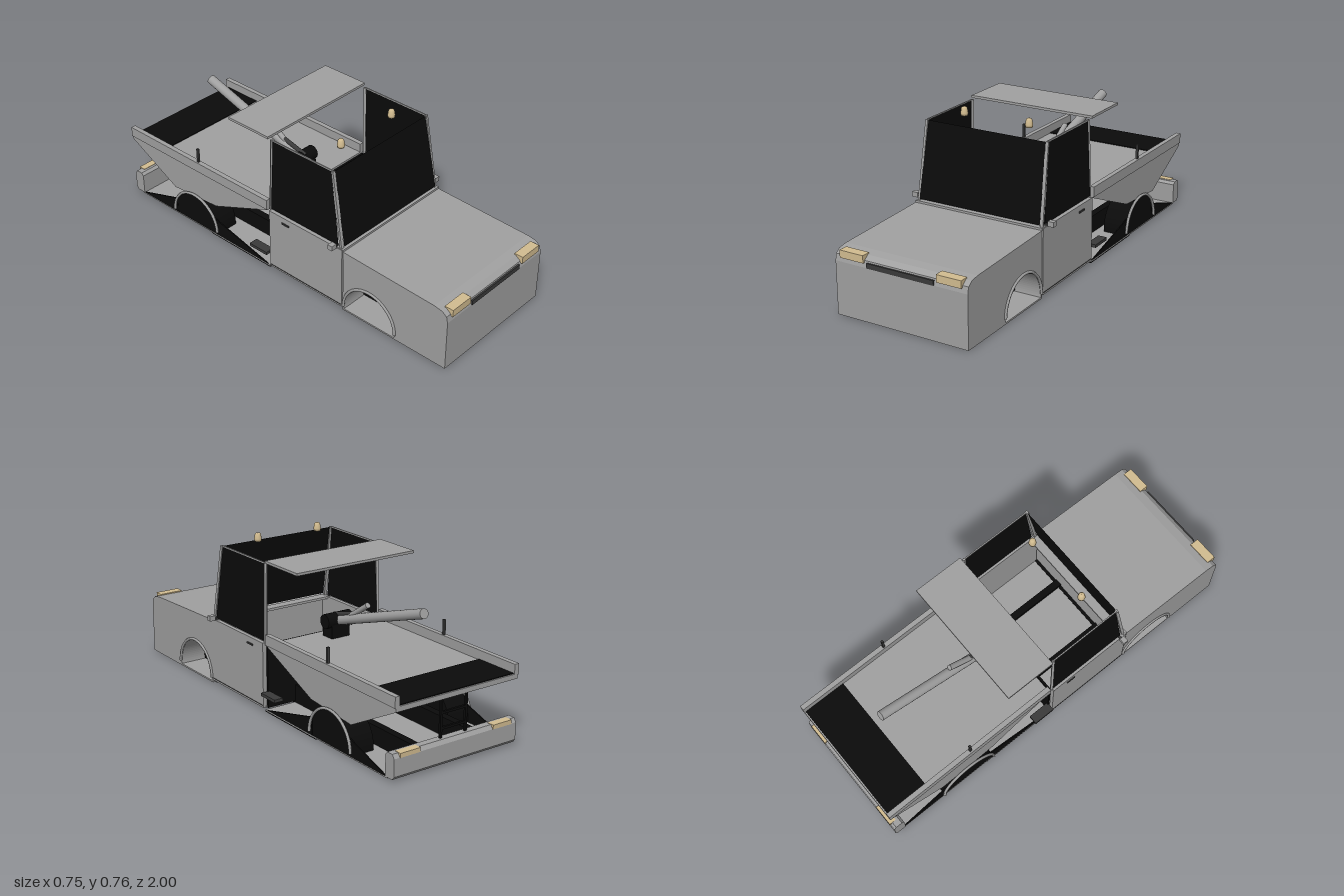
import * as THREE from 'three';

const mat = (name, color, side = THREE.FrontSide) => {
  const m = new THREE.MeshStandardMaterial({ color, side });
  m.name = name;
  return m;
};

export function createModel() {
  const truck = new THREE.Group();
  truck.name = 'truck';
  const grey = mat('body grey', 0xa0a0a0, THREE.DoubleSide);
  const black = mat('black', 0x0b0b0b, THREE.DoubleSide);
  const dark = mat('dark grey', 0x3a3a3a);
  const beige = mat('lamp beige', 0xd2bc90);

  const add = (name, geo, m) => {
    const mesh = new THREE.Mesh(geo, m);
    mesh.name = name;
    truck.add(mesh);
    return mesh;
  };
  // Box given by its limits on each axis
  const box = (name, m, x0, x1, y0, y1, z0, z1) => {
    const mesh = add(name, new THREE.BoxGeometry(Math.abs(x1 - x0), y1 - y0, z1 - z0), m);
    mesh.position.set((x0 + x1) / 2, (y0 + y1) / 2, (z0 + z1) / 2);
    return mesh;
  };
  // Bar or tube running between two points
  const between = (name, m, a, b, geo) => {
    const p = new THREE.Vector3(...a), q = new THREE.Vector3(...b);
    const mesh = add(name, geo(p.distanceTo(q)), m);
    mesh.position.copy(p).lerp(q, 0.5);
    mesh.lookAt(q);
    return mesh;
  };
  const bar = (name, m, a, b, t) => between(name, m, a, b, (l) => new THREE.BoxGeometry(t, t, l));
  const tube = (name, m, a, b, r) =>
    between(name, m, a, b, (l) => new THREE.CylinderGeometry(r, r, l, 16).rotateX(Math.PI / 2));
  // Side profile in (z, y), extruded across x
  const extrude = (name, m, shape, width, x = 0) => {
    const geo = new THREE.ExtrudeGeometry(shape, { depth: width, bevelEnabled: false, curveSegments: 24 });
    geo.translate(0, 0, -width / 2).rotateY(-Math.PI / 2);
    const mesh = add(name, geo, m);
    mesh.position.x = x;
    return mesh;
  };
  const poly = (pts) => new THREE.Shape(pts.map((p) => new THREE.Vector2(...p)));
  // Flat four-cornered pane
  const pane = (name, m, a, b, c, d) => {
    const geo = new THREE.BufferGeometry();
    geo.setAttribute('position', new THREE.Float32BufferAttribute([...a, ...b, ...c, ...a, ...c, ...d], 3));
    geo.computeVertexNormals();
    return add(name, geo, m);
  };

  // Hood with wheel arches cut through, and a dark core between them
  const archF = 0.565, archB = -0.555, archY = 0.03, r = 0.148;
  const a0 = Math.asin((0.012 - archY) / r);
  const hood = poly([[0.41, 0.012], [0.41, 0.327], [0.92, 0.31], [0.965, 0.303], [0.988, 0.285], [0.995, 0.255], [0.995, 0.012]]);
  hood.absarc(archF, archY, r, a0, Math.PI - a0, false);
  extrude('hood', grey, hood, 0.67);
  box('hoodCore', black, -0.2, 0.2, 0.014, 0.19, 0.415, 0.72);
  box('hoodUnderside', grey, -0.335, 0.335, 0.004, 0.012, 0.41, 0.995);
  box('cowl', grey, -0.335, 0.335, 0.325, 0.337, 0.36, 0.41);
  box('grille', dark, -0.17, 0.17, 0.255, 0.278, 0.985, 0.998);

  // Cab floor
  box('cabFloor', grey, -0.325, 0.325, 0.02, 0.028, -0.05, 0.41);
  box('cabBackWall', black, -0.32, 0.32, 0.02, 0.33, -0.055, -0.045);
  box('cabSill', black, -0.32, 0.32, 0.004, 0.03, 0.395, 0.41);
  pane('windshield', black, [-0.318, 0.345, 0.402], [0.318, 0.345, 0.402], [0.31, 0.704, 0.332], [-0.31, 0.704, 0.332]);

  for (const s of [-1, 1]) {
    const side = s > 0 ? 'left' : 'right';
    // Doors, side windows and their frames
    box(side + 'Door', grey, s * 0.318, s * 0.338, 0.02, 0.335, -0.042, 0.405);
    box(side + 'DoorHandle', dark, s * 0.338, s * 0.343, 0.3, 0.308, 0.04, 0.085);
    box(side + 'DoorSeam', dark, s * 0.338, s * 0.34, 0.029, 0.032, -0.04, 0.4);
    pane(side + 'Window', black, [s * 0.327, 0.342, 0.375], [s * 0.327, 0.342, -0.038],
      [s * 0.314, 0.704, -0.03], [s * 0.314, 0.704, 0.325]);
    bar(side + 'FrontPillar', grey, [s * 0.323, 0.335, 0.392], [s * 0.313, 0.706, 0.33], 0.014);
    bar(side + 'RearPillar', grey, [s * 0.323, 0.335, -0.043], [s * 0.313, 0.706, -0.037], 0.012);
    bar(side + 'WindowTopFrame', grey, [s * 0.313, 0.706, 0.33], [s * 0.313, 0.706, -0.037], 0.006);
    // Mirror, step, lamps
    box(side + 'Mirror', grey, s * 0.345, s * 0.375, 0.338, 0.362, 0.355, 0.38);
    box(side + 'MirrorArm', dark, s * 0.325, s * 0.347, 0.337, 0.345, 0.362, 0.372);
    box(side + 'Step', dark, s * 0.31, s * 0.355, 0.085, 0.1, -0.16, -0.05);
    box(side + 'Headlight', beige, s * 0.185, s * 0.307, 0.275, 0.31, 0.955, 1);
    box(side + 'TailLight', beige, s * 0.2, s * 0.305, 0.11, 0.13, -1, -0.965);
    // Roof beacon
    const beacon = add(side + 'Beacon', new THREE.LatheGeometry(
      [[0, 0], [0.016, 0], [0.018, 0.012], [0.014, 0.035], [0.009, 0.04], [0, 0.04]].map((p) => new THREE.Vector2(...p)), 16), beige);
    beacon.position.set(s * 0.17, 0.725, 0.245);
    // Chassis rail
    box(side + 'ChassisRail', black, s * 0.132, s * 0.168, 0.008, 0.045, -0.05, 0.41);
    box(side + 'RearChassisRail', black, s * 0.132, s * 0.168, 0.012, 0.1, -0.95, -0.05);
    // Wheel arch rims
    for (const [part, z] of [['FrontArch', archF], ['RearArch', archB]]) {
      const rim = add(side + part, new THREE.TorusGeometry(0.15, 0.007, 6, 32, Math.PI).rotateY(Math.PI / 2), grey);
      rim.position.set(s * 0.337, archY, z);
    }
    // Rear wheel housing and lower side skirts
    const housing = new THREE.Shape();
    housing.absarc(archB, archY, r, a0, Math.PI - a0, false);
    extrude(side + 'RearWheelHousing', black, housing, 0.12, s * 0.27);
    extrude(side + 'FrontSkirt', black, poly([[-0.06, 0.012], [-0.42, 0.012], [-0.42, 0.1]]), 0.006, s * 0.328);
    extrude(side + 'RearSkirt', black, poly([[-0.69, 0.012], [-0.95, 0.012], [-0.69, 0.095]]), 0.006, s * 0.328);
    // Bed rails with posts
    box(side + 'BedRail', grey, s * 0.312, s * 0.336, 0.33, 0.38, -0.998, -0.06);
    bar(side + 'Post', dark, [s * 0.323, 0.38, -0.525], [s * 0.323, 0.452, -0.525], 0.011);
    bar(side + 'LadderRail', black, [s * 0.068, 0.1, -0.968], [s * 0.068, 0.315, -0.968], 0.011);
  }

  // Rear underside and bumper
  box('rearTray', grey, -0.332, 0.332, 0.008, 0.013, -0.95, -0.05);
  box('rearTrayFrontBottom', black, -0.332, 0.332, 0.003, 0.008, -0.45, -0.05);
  extrude('rearBumper', grey, poly([[-0.94, 0.015], [-0.94, 0.115], [-0.952, 0.128], [-0.985, 0.128], [-0.997, 0.11], [-0.997, 0.03], [-0.985, 0.015]]), 0.67);
  for (const y of [0.17, 0.24]) bar('ladderRung', black, [-0.068, y, -0.968], [0.068, y, -0.968], 0.011);

  // Bed hull, with a dark panel at the tail
  extrude('bedHull', grey, poly([[-0.06, 0.335], [-0.06, 0.325], [-0.41, 0.18], [-0.7, 0.158], [-0.997, 0.312], [-0.997, 0.335]]), 0.66);
  box('tailPanel', black, -0.312, 0.312, 0.335, 0.339, -0.99, -0.775);

  // Boom with pivot and ram
  tube('boom', grey, [0, 0.41, -0.15], [0, 0.603, -0.765], 0.023);
  tube('boomPivot', black, [-0.07, 0.415, -0.15], [0.07, 0.415, -0.15], 0.034);
  box('boomBase', black, -0.05, 0.05, 0.335, 0.4, -0.18, -0.11);
  tube('boomRamSleeve', dark, [0, 0.435, -0.13], [0, 0.475, -0.29], 0.011);
  tube('boomRam', grey, [0, 0.455, -0.25], [0, 0.54, -0.38], 0.013);

  // Canopy behind the cab
  box('canopy', grey, -0.325, 0.325, 0.71, 0.722, -0.3, -0.05);

  return truck;
}
